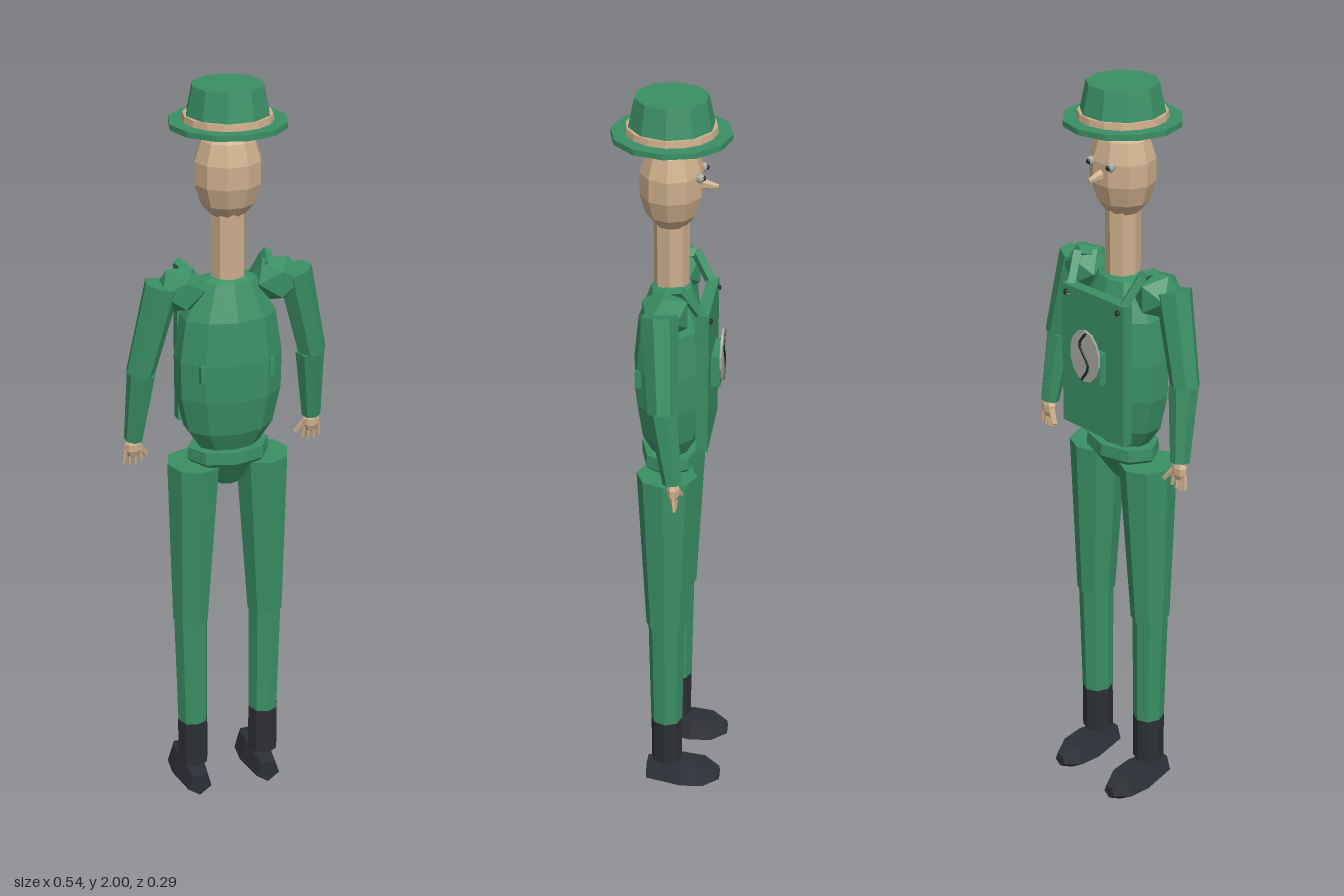
import * as THREE from 'three';

const GREEN = 0x3a8f64, SKIN = 0xcdae8c, DARK = 0x2c2f36, GREY = 0xa5a89f, BLACK = 0x22262a;
const V = (x, y, z) => new THREE.Vector3(x, y, z);

export function createModel() {
  const root = new THREE.Group();

  const add = (name, geo, color, pos = [0, 0, 0], parent = root) => {
    const mat = new THREE.MeshStandardMaterial({ color, flatShading: true });
    const mesh = new THREE.Mesh(geo, mat);
    mesh.name = name;
    mesh.position.set(...pos);
    parent.add(mesh);
    return mesh;
  };
  // turned shape from [radius, height] pairs
  const turned = (pts, sides, start = 0) =>
    new THREE.LatheGeometry(pts.map(([r, y]) => new THREE.Vector2(r, y)), sides, start);
  // tapered round bar from a (radius ra) to b (radius rb)
  const limb = (name, a, b, ra, rb, sides, color, parent = root) => {
    const geo = new THREE.CylinderGeometry(rb, ra, a.distanceTo(b), sides);
    const m = add(name, geo, color, a.clone().lerp(b, 0.5).toArray(), parent);
    m.quaternion.setFromUnitVectors(V(0, 1, 0), b.clone().sub(a).normalize());
    return m;
  };

  // hat
  add('hatBrim', new THREE.CylinderGeometry(0.146, 0.146, 0.014, 12), GREEN, [0, 1.907, 0]);
  add('hatBand', new THREE.CylinderGeometry(0.109, 0.111, 0.016, 16), SKIN, [0, 1.922, 0]);
  add('hatCrown', new THREE.CylinderGeometry(0.089, 0.108, 0.088, 10), GREEN, [0, 1.956, 0])
    .rotation.y = Math.PI / 10;

  // head, neck and face
  const head = new THREE.SphereGeometry(1, 10, 7);
  head.scale(0.087, 0.127, 0.08);
  add('head', head, SKIN, [0, 1.787, 0]);
  add('neck', new THREE.CylinderGeometry(0.044, 0.044, 0.18, 8), SKIN, [0, 1.61, 0]);
  limb('nose', V(0, 1.785, -0.072), V(0, 1.778, -0.112), 0.014, 0.006, 6, SKIN);
  for (const s of [1, -1]) {
    add('eye', new THREE.SphereGeometry(0.012, 8, 6), GREY, [s * 0.034, 1.812, -0.072]);
    add('pupil', new THREE.SphereGeometry(0.007, 6, 5), BLACK, [s * 0.034, 1.812, -0.08]);
  }

  // torso and hips
  add('torso', turned([[0, 1.03], [0.07, 1.045], [0.118, 1.115], [0.139, 1.21], [0.141, 1.31],
    [0.124, 1.42], [0.075, 1.51], [0, 1.537]], 10), GREEN).scale.z = 0.67;
  add('hips', turned([[0, 0.94], [0.03, 0.95], [0.11, 1.03], [0.108, 1.062], [0, 1.066]], 8), GREEN)
    .scale.z = 0.7;

  // apron panel with pocket and bean badge
  add('apronPanel', new THREE.BoxGeometry(0.22, 0.38, 0.03), GREEN, [0, 1.295, -0.09]);
  add('pocket', new THREE.BoxGeometry(0.1, 0.085, 0.024), GREEN, [0, 1.302, -0.116]);
  const badge = new THREE.CylinderGeometry(1, 1, 0.006, 14);
  badge.rotateX(Math.PI / 2);
  badge.scale(0.052, 0.07, 1);
  add('badge', badge, GREY, [0, 1.327, -0.129]);
  const crease = new THREE.CatmullRomCurve3([V(-0.008, 0.066, 0), V(0.016, 0.03, 0),
    V(-0.014, -0.025, 0), V(0.01, -0.066, 0)]);
  add('badgeCrease', new THREE.TubeGeometry(crease, 12, 0.004, 5), BLACK, [0, 1.327, -0.132]);

  // cross-section pentagons along the foot, sole edge down
  const foot = turned([[0, -0.055], [0.035, -0.055], [0.051, 0.045], [0.046, 0.105],
    [0.02, 0.147], [0, 0.147]], 5, Math.PI);
  foot.rotateX(-Math.PI / 2);

  for (const s of [1, -1]) {
    const side = s > 0 ? 'left' : 'right';
    const P = (x, y, z) => V(s * x, y, z);

    // apron strap, button and side tie
    const strap = [P(0.088, 1.455, -0.1), P(0.115, 1.55, -0.045), P(0.1, 1.535, 0.015)];
    for (let i = 0; i < 2; i++) {
      limb(side + 'Strap', strap[i], strap[i + 1], 0.014, 0.014, 4, GREEN);
    }
    add(side + 'Button', new THREE.SphereGeometry(0.008, 6, 4), BLACK, [s * 0.092, 1.465, -0.106]);
    add(side + 'Tie', new THREE.BoxGeometry(0.014, 0.045, 0.02), GREEN, [s * 0.09, 1.29, 0.07]);

    // arm
    const arm = new THREE.Group();
    arm.name = side + 'Arm';
    root.add(arm);
    add('shoulder', new THREE.IcosahedronGeometry(0.065, 0), GREEN, [s * 0.125, 1.495, 0], arm);
    limb('upperArm', P(0.172, 1.515, 0.006), P(0.23, 1.28, -0.008), 0.046, 0.037, 7, GREEN, arm);
    limb('forearm', P(0.224, 1.285, -0.008), P(0.242, 1.09, -0.035), 0.038, 0.025, 7, GREEN, arm);

    // hand
    const palm = new THREE.SphereGeometry(1, 7, 5);
    palm.scale(0.024, 0.03, 0.017);
    add('palm', palm, SKIN, [s * 0.243, 1.068, -0.037], arm);
    for (let i = 0; i < 4; i++) {
      const x = 0.228 + i * 0.011;
      limb('finger', P(x, 1.06, -0.038), P(x + (i - 1.5) * 0.004, 1.014 + Math.abs(i - 1.5) * 0.005, -0.042),
        0.007, 0.005, 5, SKIN, arm);
    }
    limb('thumb', P(0.228, 1.068, -0.042), P(0.204, 1.035, -0.052), 0.008, 0.006, 5, SKIN, arm);

    // leg and boot
    const leg = new THREE.Group();
    leg.name = side + 'Leg';
    root.add(leg);
    limb('thigh', P(0.105, 0.56, 0), P(0.093, 1.02, 0), 0.049, 0.071, 8, GREEN, leg).scale.z = 1.1;
    limb('shin', P(0.102, 0.24, 0), P(0.105, 0.562, 0), 0.041, 0.046, 8, GREEN, leg).scale.z = 1.05;
    add('bootCuff', new THREE.CylinderGeometry(0.042, 0.042, 0.137, 8), DARK, [s * 0.102, 0.172, 0], leg);
    add('foot', foot, DARK, [s * 0.1, 0.051, 0], leg);
  }
  return root;
}
